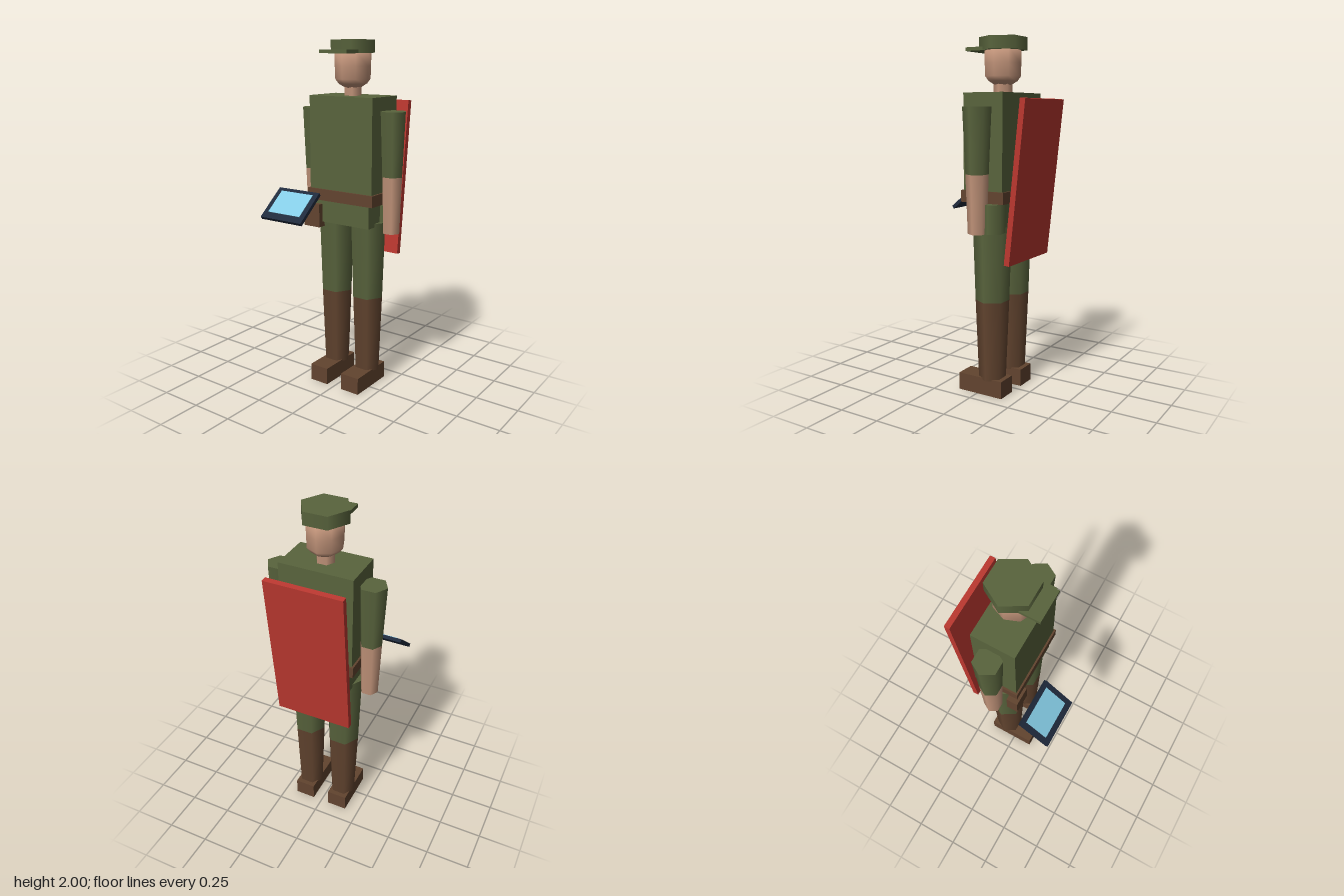
import * as THREE from 'three';

const paint = (name, color) => {
  const m = new THREE.MeshStandardMaterial({ color });
  m.name = name;
  return m;
};

export function createModel() {
  const green = paint('uniform green', 0x59643d);
  const brown = paint('leather brown', 0x62442f);
  const skin = paint('skin', 0xc2947a);
  const red = paint('shield red', 0xbc3830);
  const navy = paint('tablet navy', 0x1f2a3c);
  const glass = paint('screen blue', 0x84cbe4);

  const root = new THREE.Group();
  root.name = 'soldier';
  const body = new THREE.Group();
  body.name = 'body';
  body.position.set(0.004, 0, -0.067);
  root.add(body);

  const add = (parent, name, geometry, material, x, y, z) => {
    const mesh = new THREE.Mesh(geometry, material);
    mesh.name = name;
    mesh.position.set(x, y, z);
    parent.add(mesh);
    return mesh;
  };
  // box given by its vertical span
  const box = (parent, name, mat, w, y0, y1, d, x = 0, z = 0) =>
    add(parent, name, new THREE.BoxGeometry(w, y1 - y0, d), mat, x, (y0 + y1) / 2, z);
  // six-sided tapered column with corners pointing sideways
  const column = (parent, name, mat, rTop, rBottom, y0, y1, x = 0, z = 0) =>
    add(parent, name, new THREE.CylinderGeometry(rTop, rBottom, y1 - y0, 6, 1, false, Math.PI / 2),
      mat, x, (y0 + y1) / 2, z);

  // torso, belt and hips
  box(body, 'torso', green, 0.42, 1.13, 1.7, 0.245);
  box(body, 'belt', brown, 0.442, 1.11, 1.175, 0.266);
  box(body, 'hips', green, 0.375, 0.98, 1.12, 0.23);

  // arms and legs, mirrored
  for (const side of [-1, 1]) {
    const label = side > 0 ? 'left' : 'right';
    const armX = side * 0.265;
    column(body, label + 'Sleeve', green, 0.077, 0.062, 1.27, 1.625, armX);
    column(body, label + 'Forearm', skin, 0.062, 0.051, 0.95, 1.27, armX);
    const legX = side * 0.111;
    column(body, label + 'Thigh', green, 0.109, 0.095, 0.55, 1.0, legX);
    column(body, label + 'BootShaft', brown, 0.095, 0.077, 0.09, 0.55, legX);
    box(body, label + 'Foot', brown, 0.12, 0, 0.1, 0.283, legX, 0.047);
  }

  // neck and head
  column(body, 'neck', skin, 0.052, 0.052, 1.68, 1.77);
  const profile = [[0, 1.74], [0.045, 1.742], [0.085, 1.765], [0.104, 1.79], [0.107, 1.86], [0.107, 1.94], [0, 1.96]]
    .map(([r, y]) => new THREE.Vector2(r, y));
  add(body, 'head', new THREE.LatheGeometry(profile, 8), skin, 0, 0, 0).scale.x = 0.92;

  // cap with visor
  column(body, 'cap', green, 0.133, 0.133, 1.93, 2);
  box(body, 'capVisor', green, 0.178, 1.928, 1.948, 0.13, 0, 0.123);

  // belt pouch and canteen
  box(root, 'beltPouch', brown, 0.11, 0.95, 1.085, 0.067, -0.184, 0.044);
  column(root, 'canteen', green, 0.068, 0.068, 0.95, 1.11, 0.207, -0.127).rotation.y = 0.12;

  // shield leaning on the back
  box(root, 'shield', red, 0.442, 0.78, 1.67, 0.032, 0.004, -0.269).rotation.x = -0.105;

  // tilted tablet with its screen
  const tablet = new THREE.Group();
  tablet.name = 'tablet';
  tablet.position.set(-0.206, 1.097, 0.24);
  tablet.rotation.x = 0.69;
  root.add(tablet);
  box(tablet, 'tabletBody', navy, 0.287, -0.01, 0.01, 0.221);
  box(tablet, 'tabletScreen', glass, 0.224, 0.009, 0.013, 0.157, 0, -0.009);

  return root;
}
